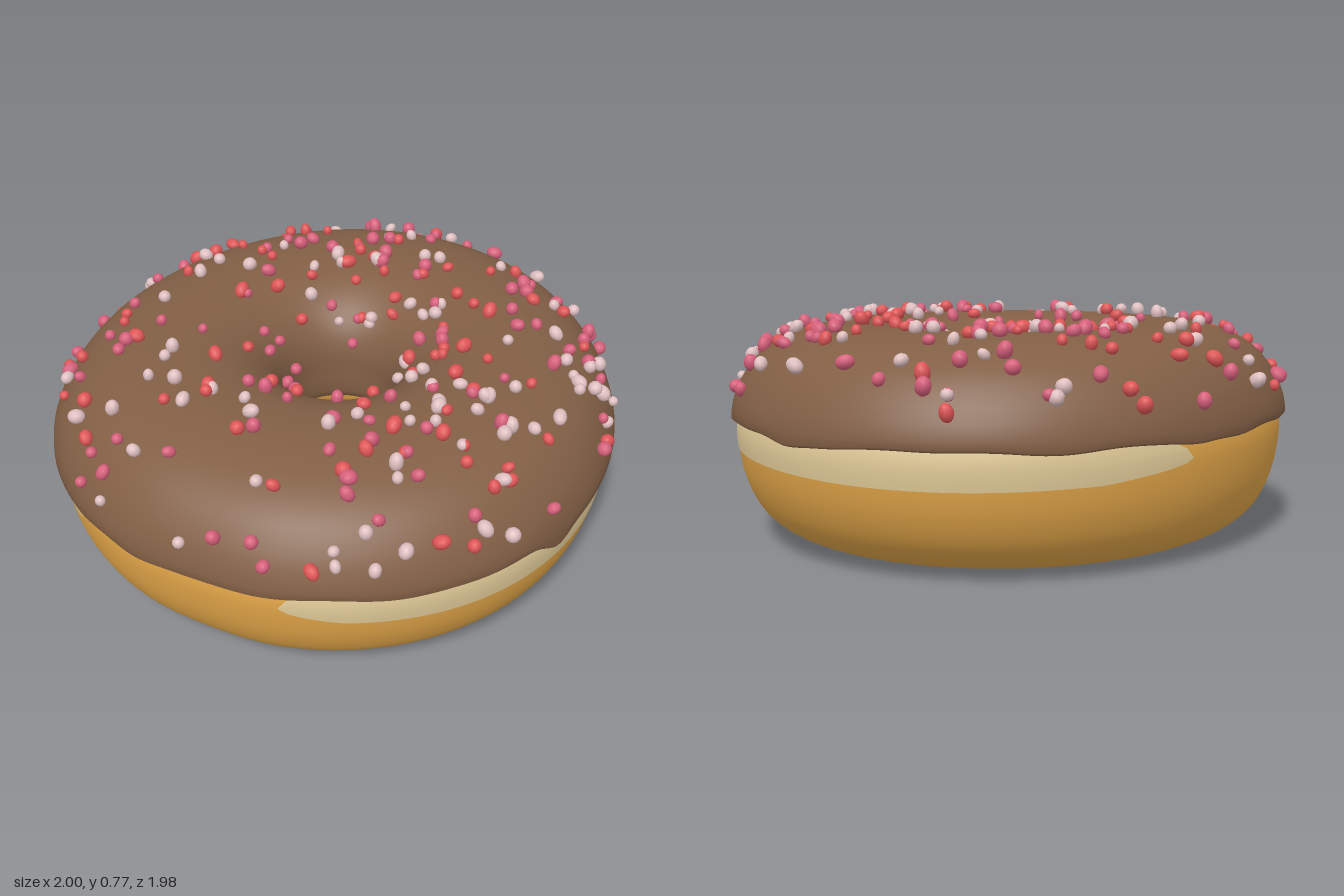
import * as THREE from 'three';
import { mergeGeometries } from 'three/addons/utils/BufferGeometryUtils.js';

const TAU = Math.PI * 2;
const material = (name, color) => {
  const m = new THREE.MeshStandardMaterial({ color });
  m.name = name;
  return m;
};

// Small seeded random generator
function seeded(seed) {
  return () => {
    seed = (seed * 1664525 + 1013904223) % 4294967296;
    return seed / 4294967296;
  };
}

const bump = (a, centre, width) => {
  const d = Math.atan2(Math.sin(a - centre), Math.cos(a - centre)) / width;
  return Math.exp(-d * d);
};

// Hand-made, slightly uneven outline; angle runs from +z towards +x
function outline(a) {
  return 0.997 - 0.028 * Math.sin(2 * a) + 0.014 * (Math.sin(a) + Math.sin(3 * a))
    - 0.009 * Math.cos(a) ** 2 - 0.012 * bump(a, -0.62, 0.2);
}

function ringPoint(a, r, y) {
  const d = r * (1 + (outline(a) - 1) * r);
  const off = Math.max(0, 1 - r);
  return new THREE.Vector3(Math.sin(a) * d + 0.015 * off, y, Math.cos(a) * d - 0.03 * off);
}

// Grid of cross-sections swept round the ring; section(a, j) gives [radius, height]
function sweep(section, rows, cols, start = 0, length = TAU) {
  const closed = length === TAU;
  const n = closed ? cols : cols + 1;
  const pos = [], index = [];
  for (let i = 0; i < n; i++) {
    const a = start + (i / cols) * length;
    for (let j = 0; j < rows; j++) pos.push(...ringPoint(a, ...section(a, j)).toArray());
  }
  for (let i = 0; i < cols; i++) {
    for (let j = 0; j < rows - 1; j++) {
      const p = i * rows + j, q = ((i + 1) % n) * rows + j;
      index.push(p, p + 1, q, p + 1, q + 1, q);
    }
  }
  const g = new THREE.BufferGeometry();
  g.setAttribute('position', new THREE.Float32BufferAttribute(pos, 3));
  g.setIndex(index);
  g.computeVertexNormals();
  return g;
}

const spline = (pts, n) => new THREE.SplineCurve(pts.map(p => new THREE.Vector2(...p))).getSpacedPoints(n);

// Wavy lower edge of the icing with a few drips
const edgeDrop = a => 0.005 * Math.sin(9 * a) + 0.003 * Math.sin(17 * a + 1)
  + 0.05 * bump(a, 0.67, 0.08) + 0.02 * bump(a, 2.1, 0.1) + 0.02 * bump(a, -0.83, 0.1) + 0.012 * bump(a, 3.5, 0.1);

// Where sprinkles gather: [x, z, count]
const redSpots = [
  [-0.44, -0.71], [-0.37, -0.65], [-0.3, -0.76], [-0.48, -0.48], [-0.3, -0.3], [-0.02, -0.76], [0.16, -0.53],
  [0.32, -0.6], [0.47, -0.83, 2], [0.62, -0.33], [0.72, -0.35], [-0.72, -0.2], [-0.92, -0.18], [-0.68, -0.07],
  [-0.47, 0.3], [-0.38, 0.5], [0.18, -0.22, 2], [0.28, 0.1, 2], [0.35, 0.12], [0.23, 0.2], [0.47, 0.24],
  [0.28, 0.5], [0.27, 0.66, 2], [0.1, 0.56], [0, 0.65], [-0.08, 0.72], [-0.2, 0.94], [-0.85, 0.33],
  [0.83, -0.1], [0.88, 0.48], [0.35, 0.3], [0.43, 0.75]];
const pinkSpots = [
  [0.45, -0.8, 4], [0.2, -0.88, 2], [0, -0.89], [0, -0.58, 3], [0.22, -0.55, 3], [0.45, -0.62], [0.62, -0.72],
  [-0.68, -0.32], [-0.8, -0.45], [-0.9, -0.3], [-0.75, -0.08, 2], [-0.18, -0.08, 4], [-0.18, 0.18], [-0.05, 0.34],
  [-0.28, 0.28], [-0.33, 0.5], [-0.85, 0.45, 3], [-0.42, 0.82, 2], [-0.34, 0.9], [-0.05, 0.85, 2], [-0.08, 0.69, 2],
  [0.38, -0.15], [0.68, -0.02, 2], [0.97, -0.1, 3], [0.75, -0.25], [0.82, 0.2, 2], [0.3, 0.05, 2], [0.3, 0.85],
  [0.38, 0.42], [0.5, 0.35], [0.2, 0.58], [0.03, -0.23, 2]];
const paleSpots = [
  [-0.62, -0.65], [-0.25, -0.47], [0.02, -0.48, 3], [-0.02, -0.27, 2], [0.32, -0.78], [0.45, -0.86], [0.55, -0.7],
  [0.38, -0.65], [0.37, -0.1], [0.3, -0.2], [0.24, 0.16, 2], [0.25, 0.3, 2], [0.2, 0.5, 4], [0.35, 0.37],
  [0.4, 0.56, 2], [0.3, 0.65], [0.47, 0.57], [0.8, 0.25, 4], [0.82, 0.34, 4], [0.9, 0.2, 2], [0.65, 0.5],
  [0.75, 0.08], [0.08, 0.93], [-0.02, 0.95, 2], [-0.13, 0.94], [0.08, 0.76], [0.33, 0.87], [0.42, 0.81, 2],
  [-0.65, 0.17], [-0.55, 0.27, 2], [-0.45, 0.29], [-0.88, 0.22], [-0.7, 0.48], [-0.82, 0.54], [-0.58, 0.76],
  [-0.1, 0.52], [-0.92, -0.05], [0.9, -0.2], [-0.12, -0.6]];

export function createModel() {
  const model = new THREE.Group();
  model.name = 'doughnut';
  const add = (name, geometry, mat) => {
    const mesh = new THREE.Mesh(geometry, mat);
    mesh.name = name;
    model.add(mesh);
  };

  // Dough ring, starting and ending under the icing
  const doughPts = spline([
    [0.6, 0.54], [0.82, 0.52], [0.94, 0.47], [0.973, 0.4], [0.972, 0.31], [0.947, 0.2], [0.892, 0.1],
    [0.795, 0.032], [0.66, 0], [0.53, 0], [0.42, 0.035], [0.31, 0.13], [0.24, 0.24], [0.215, 0.34],
    [0.225, 0.46], [0.32, 0.52], [0.6, 0.54]], 72);
  add('dough', sweep((a, j) => [doughPts[j].x, Math.max(0, doughPts[j].y)], doughPts.length, 128),
    material('goldenDough', 0xe1a548));

  // Pale proofing band, a thin skin on the outside of the dough
  const cream = material('paleDough', 0xe0ca98);
  const doughRadius = y => {
    const k = doughPts.findIndex((p, i) => i > 0 && p.x > 0.8 && p.y <= y);
    const p = doughPts[k - 1], q = doughPts[k];
    return p.x + (q.x - p.x) * (p.y - y) / (p.y - q.y);
  };
  const skin = (name, from, to, top, bottom) => add(name, sweep((a, j) => {
    const y = top(a) + (bottom(a) - top(a)) * j / 8;
    return [doughRadius(y) + 0.003, y];
  }, 9, 128, from, to - from), cream);
  const b0 = -0.32, b1 = 3.48;
  const ends = a => Math.sqrt(Math.max(0, Math.min(1, (a - b0) / 0.22)))
    * Math.sqrt(Math.max(0, Math.min(1, (b1 - a) / 0.35)));
  skin('paleBand', b0, b1,
    a => 0.36 + 0.08 * Math.min(1, ends(a) * 1.3),
    a => 0.36 - (0.054 + 0.009 * Math.sin(3 * a)) * ends(a));
  const patch = (name, from, to, y, half) => {
    const lens = a => half * Math.sqrt(Math.max(0, Math.sin(Math.PI * (a - from) / (to - from))));
    skin(name, from, to, a => y + lens(a), a => y - lens(a));
  };
  patch('palePatch', -1.87, -1.4, 0.372, 0.02);
  patch('paleSpot', -1.25, -1.14, 0.352, 0.008);

  // Icing cap, reaching down into the hole, with a rolled lip at both edges
  const topPts = spline([
    [0.196, 0.43], [0.202, 0.5], [0.235, 0.58], [0.3, 0.65], [0.4, 0.703], [0.52, 0.724], [0.65, 0.72],
    [0.78, 0.69], [0.88, 0.635], [0.95, 0.555], [0.988, 0.475], [0.997, 0.42]], 44);
  const throat = spline([[0.245, 0.32], [0.218, 0.292], [0.2, 0.31], [0.194, 0.36], [0.195, 0.41]], 10);
  const lip = [new THREE.Vector2(0.988, 0.412), new THREE.Vector2(0.95, 0.425)];
  const icingPts = [...throat, ...topPts, ...lip];
  add('icing', sweep((a, j) => {
    const p = icingPts[j];
    const w = p.x > 0.9 ? Math.max(0, Math.min(1, (0.52 - p.y) / 0.1)) : 0;
    return [p.x, p.y - edgeDrop(a) * w * w];
  }, icingPts.length, 192), material('chocolateIcing', 0x825f45));

  // Sprinkles: beads around the listed spots plus an even scatter
  const rand = seeded(29);
  const bead = (x, z) => {
    const a = Math.atan2(x, z);
    const r = Math.min(0.968, Math.max(0.2, Math.hypot(x, z) / outline(a)));
    const k = Math.max(1, topPts.findIndex(p => p.x >= r));
    const p = topPts[k - 1], q = topPts[k];
    const t = THREE.MathUtils.clamp((r - p.x) / (q.x - p.x), 0, 1);
    const slope = Math.atan2(q.y - p.y, q.x - p.x);
    const size = 0.017 + 0.009 * rand(), lift = size * 0.65;
    const centre = ringPoint(a, r - Math.sin(slope) * lift, p.y + (q.y - p.y) * t + Math.cos(slope) * lift);
    const g = new THREE.SphereGeometry(size, 10, 8);
    g.scale(1, 1 + 0.35 * rand(), 1);
    g.rotateX(rand() * Math.PI).rotateY(rand() * TAU);
    return g.translate(centre.x, centre.y, centre.z);
  };
  const sprinkles = (name, color, spots, scattered) => {
    const beads = [];
    for (const [x, z, count = 1] of spots) {
      const spread = count > 1 ? 0.06 : 0;
      for (let i = 0; i < count; i++) {
        const a = (i / count + 0.2 * rand()) * TAU;
        beads.push(bead(x + spread * Math.sin(a), z + spread * Math.cos(a)));
      }
    }
    while (scattered > 0) {
      const r = Math.sqrt(0.05 + 0.87 * rand()), a = rand() * TAU;
      const x = r * Math.sin(a), z = r * Math.cos(a);
      if (rand() > 0.65 + 0.25 * x - 0.1 * z) continue;
      beads.push(bead(x, z));
      scattered--;
    }
    add(name, mergeGeometries(beads), material(name, color));
  };
  sprinkles('redSprinkles', 0xdf5556, redSpots, 50);
  sprinkles('pinkSprinkles', 0xd65f7b, pinkSpots, 45);
  sprinkles('paleSprinkles', 0xdfbfc0, paleSpots, 35);

  return model;
}
